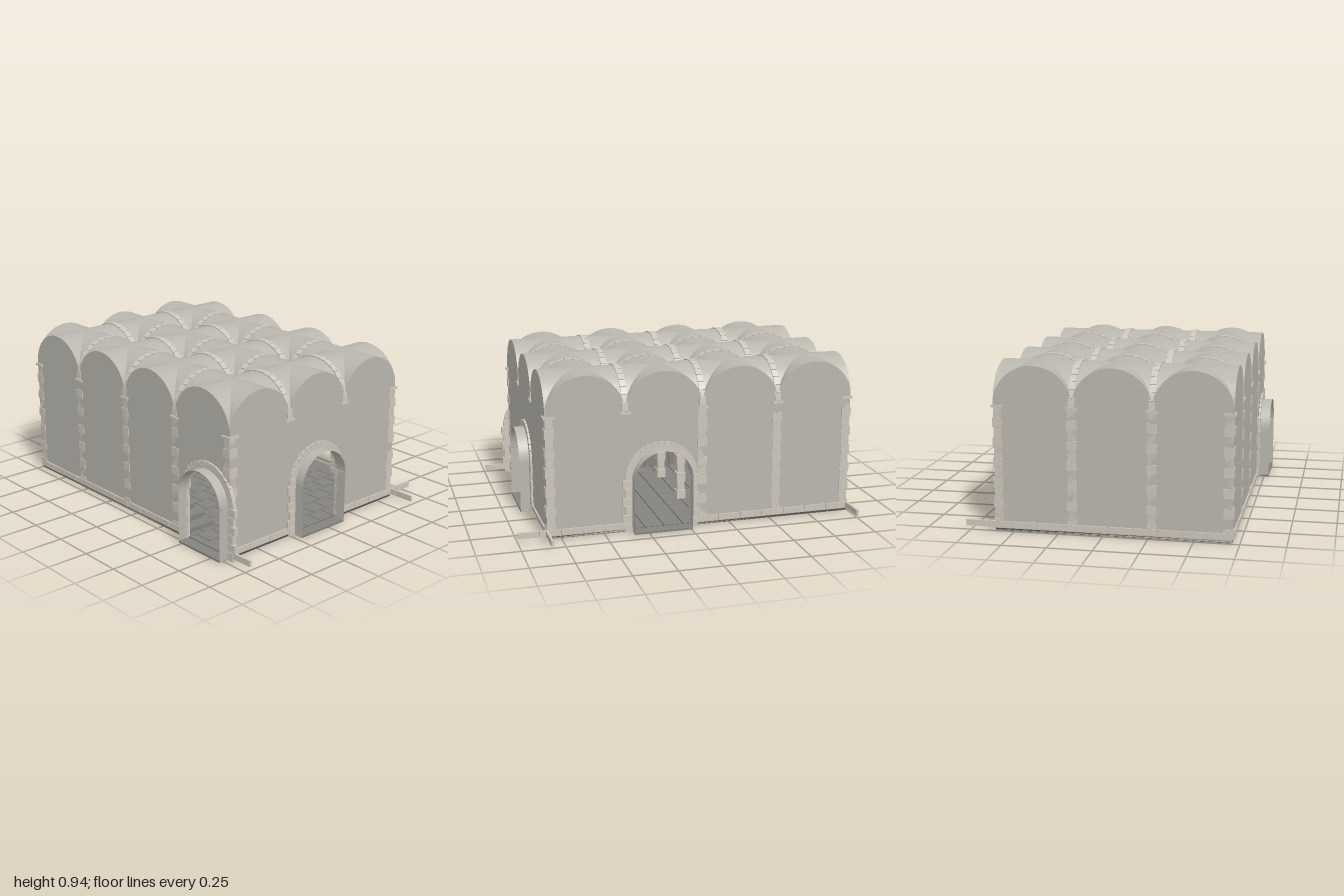
import * as THREE from 'three';
import { mergeGeometries } from 'three/addons/utils/BufferGeometryUtils.js';

const plaster = new THREE.MeshStandardMaterial({ color: 0xb9b6ae, side: THREE.DoubleSide });
const stone = new THREE.MeshStandardMaterial({ color: 0xccc5ba });
const paving = new THREE.MeshStandardMaterial({ color: 0x858380 });
const joint = new THREE.MeshStandardMaterial({ color: 0x55534f });
const iron = new THREE.MeshStandardMaterial({ color: 0x4a4540 });
const fire = new THREE.MeshStandardMaterial({ color: 0xd08a40 });

// Plan: 3 x 4 groin-vaulted bays
const BX = 0.44, BZ = 0.455, X0 = -0.71, Z0 = -0.99, NX = 3, NZ = 4;
const CX = X0 + NX * BX / 2, CZ = Z0 + NZ * BZ / 2;
const SPRING = 0.715, RISE = 0.215;
const DOOR_R = 0.172, DOOR_S = 0.31, PORCH = 0.07;

function addMesh(parent, name, geometry, material) {
  const m = new THREE.Mesh(geometry, material);
  m.name = name;
  parent.add(m);
  return m;
}

function box(w, h, d, x, y, z, rz = 0) {
  return new THREE.BoxGeometry(w, h, d).rotateZ(rz).translate(x, y, z);
}

// Stacked blocks of alternating width, optionally crowned by a capital
function pier(list, x, z, y0, y1, n, capital) {
  const h = (y1 - y0) / n;
  for (let i = 0; i < n; i++) {
    const w = i % 2 ? 0.046 : 0.056;
    list.push(box(w, h - 0.003, w, x, y0 + (i + 0.5) * h, z));
  }
  if (capital) addCapital(list, x, z);
}

function addCapital(list, x, z) {
  list.push(box(0.066, 0.014, 0.066, x, 0.703, z));
  list.push(box(0.04, 0.03, 0.04, x, 0.725, z));
}

// Ring of wedge stones over a half ellipse in the xy plane
function stoneArch(list, cx, cy, z, rx, ry, thick, depth, n) {
  for (let i = 0; i < n; i++) {
    const a = (i + 0.5) / n * Math.PI;
    const len = Math.PI * (rx + thick / 2) / n - 0.004;
    list.push(box(thick, len, depth, cx + rx * Math.cos(a), cy + ry * Math.sin(a), z, a));
  }
}

// One quarter of a groin vault: half ellipse across, from the groin to the bay edge
function lunette(a, b) {
  const g = new THREE.PlaneGeometry(1, 1, 28, 2), p = g.attributes.position;
  for (let i = 0; i < p.count; i++) {
    const t = (0.5 - p.getX(i)) * Math.PI, s = 0.5 - p.getY(i);
    const c = Math.cos(t);
    p.setXYZ(i, a * c, RISE * Math.sin(t), b * (Math.abs(c) + (1 - Math.abs(c)) * s));
  }
  g.computeVertexNormals();
  return g;
}

function buildVault() {
  const shells = [], ribs = [];
  for (let i = 0; i < NX; i++) for (let j = 0; j < NZ; j++) {
    const x = X0 + (i + 0.5) * BX, z = Z0 + (j + 0.5) * BZ;
    for (let k = 0; k < 4; k++) {
      const g = k % 2 ? lunette(BZ / 2, BX / 2) : lunette(BX / 2, BZ / 2);
      shells.push(g.rotateY(k * Math.PI / 2).translate(x, SPRING, z));
    }
    // Ribs between neighbouring bays
    if (j > 0) stoneArch(ribs, x, SPRING, z - BZ / 2, BX / 2 - 0.008, RISE - 0.008, 0.028, 0.036, 15);
    if (i > 0) {
      const list = [];
      stoneArch(list, 0, 0, 0, BZ / 2 - 0.008, RISE - 0.008, 0.028, 0.036, 15);
      list.forEach(g => ribs.push(g.rotateY(Math.PI / 2).translate(x - BX / 2, SPRING, z)));
    }
  }
  const group = new THREE.Group();
  group.name = 'vaultedRoof';
  addMesh(group, 'vaultShells', mergeGeometries(shells), plaster);
  addMesh(group, 'vaultRibs', mergeGeometries(ribs), stone);
  return group;
}

// Wall in its own frame: x along the wall, z outward. door = door centre, tail = end with the long kerb
function buildWall(name, bays, bay, door, tail) {
  const group = new THREE.Group(), half = bays * bay / 2, s = new THREE.Shape();
  group.name = name;
  s.moveTo(-half, 0.005);
  if (door !== null) {
    s.lineTo(door - DOOR_R, 0.005);
    s.lineTo(door - DOOR_R, DOOR_S);
    s.absarc(door, DOOR_S, DOOR_R, Math.PI, 0, true);
    s.lineTo(door + DOOR_R, 0.005);
  }
  s.lineTo(half, 0.005);
  s.lineTo(half, SPRING);
  for (let i = bays - 1; i >= 0; i--) s.absellipse(-half + (i + 0.5) * bay, SPRING, bay / 2, RISE, 0, Math.PI, false);
  addMesh(group, 'wallFace', new THREE.ShapeGeometry(s, 24), plaster);

  // Kerb stones along the foot, interrupted by the door
  const kerb = [], from = tail < 0 ? -half - 0.17 : -half, to = tail > 0 ? half + 0.17 : half;
  const runs = door === null ? [[from, to]] : [[from, door - 0.21], [door + 0.21, to]];
  for (const [a, b] of runs) {
    const n = Math.max(1, Math.round((b - a) / 0.13)), w = (b - a) / n;
    if (b - a < 0.03) continue;
    for (let i = 0; i < n; i++) kerb.push(box(w - 0.004, 0.035, 0.014, a + (i + 0.5) * w, 0.038, 0.001));
  }
  addMesh(group, 'kerbStones', mergeGeometries(kerb), stone);

  if (door !== null) {
    // Stone door surround
    const list = [];
    stoneArch(list, door, DOOR_S, 0, DOOR_R + 0.021, DOOR_R + 0.021, 0.042, 0.022, 17);
    for (const side of [-1, 1]) for (let i = 0; i < 6; i++) {
      const w = i % 2 ? 0.056 : 0.042, h = DOOR_S / 6;
      list.push(box(w, h - 0.003, 0.024, door + side * (DOOR_R + w / 2), (i + 0.5) * h, 0));
    }
    addMesh(group, 'doorSurround', mergeGeometries(list), stone);
    // Arched tunnel leading outward, with its sill
    const r = new THREE.CylinderGeometry(DOOR_R, DOOR_R, PORCH, 32, 1, true, -Math.PI / 2, Math.PI);
    r.rotateX(-Math.PI / 2).translate(door, DOOR_S, PORCH / 2);
    addMesh(group, 'porchVault', r, plaster);
    for (const side of [-1, 1]) {
      const cheek = new THREE.PlaneGeometry(PORCH, DOOR_S - 0.005).rotateY(side * Math.PI / 2);
      addMesh(group, 'porchCheek', cheek.translate(door + side * DOOR_R, DOOR_S / 2, PORCH / 2), plaster);
    }
    addMesh(group, 'porchSill', box(DOOR_R * 2, 0.012, PORCH, door, 0.008, PORCH / 2), paving);
  }
  return group;
}

function buildPiers() {
  const list = [], inset = 0.023;
  for (let i = 0; i <= NX; i++) for (let j = 0; j <= NZ; j++) {
    const x = X0 + i * BX + (i === 0 ? inset : i === NX ? -inset : 0);
    const z = Z0 + j * BZ + (j === 0 ? inset : j === NZ ? -inset : 0);
    const besideDoor = (j === NZ && i > 0 && i < NX) || (i === NX && j === 3);
    if (besideDoor) addCapital(list, x, z);
    else pier(list, x, z, 0.02, 0.697, 12, true);
  }
  return mergeGeometries(list);
}

// Staggered paving slabs over a dark bed
function buildFloor() {
  const group = new THREE.Group(), tiles = [], nx = 12, nz = 16;
  group.name = 'floor';
  const w = NX * BX / nx, d = NZ * BZ / nz;
  for (let j = 0; j < nz; j++) for (let i = 0; i <= nx; i++) {
    const off = j % 2 ? 0.5 : 0;
    const a = Math.max(0, i - off), b = Math.min(nx, i + 1 - off);
    if (b - a < 0.1) continue;
    tiles.push(box((b - a) * w - 0.006, 0.018, d - 0.006, X0 + (a + b) / 2 * w, 0.009, Z0 + (j + 0.5) * d));
  }
  addMesh(group, 'pavingSlabs', mergeGeometries(tiles), paving);
  addMesh(group, 'floorBed', box(NX * BX, 0.01, NZ * BZ, CX, 0.009, CZ), joint);
  return group;
}

// Stairs along the left-hand side wall up to an arcaded gallery at the rear
function buildGallery() {
  const group = new THREE.Group(), steps = [], arcade = [], n = 14, zTop = -0.7, zFoot = 0.46;
  group.name = 'galleryAndStairs';
  const run = (zFoot - zTop) / n;
  for (let i = 0; i < n; i++) {
    const h = (i + 1) / n * 0.39;
    steps.push(box(0.2, h, run - 0.004, X0 + 0.105, 0.018 + h / 2, zFoot - (i + 0.5) * run));
  }
  addMesh(group, 'steps', mergeGeometries(steps), paving);
  const s = new THREE.Shape([[zFoot, 0.02], [zFoot, 0.12], [zTop, 0.55], [zTop, 0.02]].map(p => new THREE.Vector2(...p)));
  addMesh(group, 'stairBacking', new THREE.ShapeGeometry(s).rotateY(-Math.PI / 2).translate(X0 + 0.004, 0, 0), stone);
  addMesh(group, 'galleryBody', box(NX * BX - 0.02, 0.39, zTop - Z0 - 0.01, CX, 0.215, (zTop + Z0) / 2), plaster);
  for (const x of [-0.14, 0.12]) stoneArch(arcade, x, 0.25, zTop, 0.108, 0.108, 0.03, 0.02, 11);
  for (const x of [-0.25, -0.01, 0.23]) pier(arcade, x, zTop, 0.02, 0.25, 5, false);
  addMesh(group, 'galleryArcade', mergeGeometries(arcade), stone);
  return group;
}

function buildTorch(x, y, z) {
  const group = new THREE.Group();
  group.name = 'wallTorch';
  addMesh(group, 'torchHandle', new THREE.CylinderGeometry(0.011, 0.006, 0.07, 8), iron);
  addMesh(group, 'torchFlame', new THREE.ConeGeometry(0.012, 0.05, 8).translate(0, 0.06, 0), fire);
  group.position.set(x, y, z);
  return group;
}

export function createModel() {
  const model = new THREE.Group();
  model.name = 'vaultedCellar';
  model.add(buildFloor(), buildVault(), buildGallery());
  addMesh(model, 'piers', buildPiers(), stone);

  const walls = [
    ['frontWall', NX, BX, 0, 1, CX, Z0 + NZ * BZ, 0],
    ['backWall', NX, BX, null, -1, CX, Z0, Math.PI],
    ['leftWall', NZ, BZ, -0.245, -1, X0 + NX * BX, CZ, Math.PI / 2],
    ['rightWall', NZ, BZ, 0.735, 1, X0, CZ, -Math.PI / 2],
  ];
  for (const [name, n, bay, door, tail, x, z, turn] of walls) {
    const wall = buildWall(name, n, bay, door, tail);
    wall.position.set(x, 0, z);
    wall.rotation.y = turn;
    model.add(wall);
  }
  model.add(buildTorch(-0.05, 0.28, -0.68), buildTorch(X0 + 0.03, 0.26, 0.17));
  return model;
}
